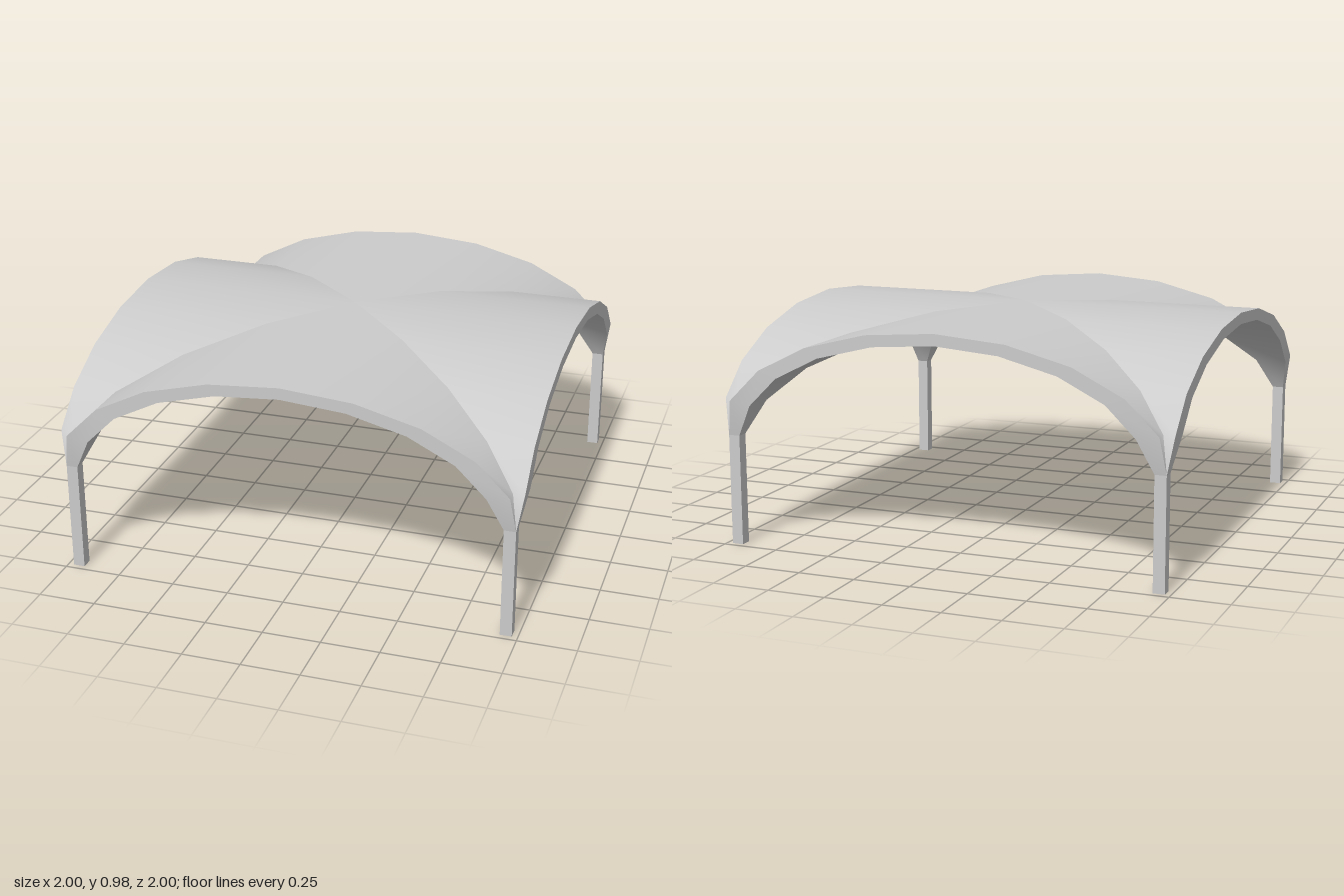
import * as THREE from 'three';

const STEPS = 5;          // arch segments from crown to springing
const SPRING = 0.48;      // height where the arches meet the legs
const LEG_IN = 0.925, LEG_OUT = 0.975;

const material = new THREE.MeshStandardMaterial({ color: 0xcccccc });

// Half-ellipse arch from left to right; both ends land on the leg.
function archProfile(rx, ry, endX) {
  const points = [];
  for (let i = -STEPS; i <= STEPS; i++) {
    const a = (i / STEPS) * Math.PI / 2;
    const end = Math.abs(i) === STEPS;
    const x = end ? Math.sign(i) * endX : rx * Math.sin(a);
    points.push({ x, y: SPRING + ry * Math.cos(a), end });
  }
  return points;
}

// The edge where neighbouring vaults meet on the diagonal.
const groin = (profile) => profile.map((p) => [p.x, p.y, Math.abs(p.x)]);
// The open edge, drawn in to the leg face at its ends.
const rim = (profile) => profile.map((p) => [p.x, p.y, p.end ? LEG_OUT : 1]);

// Surface strip between two rows of points.
function strip(a, b) {
  const n = a.length, index = [];
  for (let i = 0; i < n - 1; i++) {
    index.push(i, n + i, i + 1, n + i, n + i + 1, i + 1);
  }
  const geometry = new THREE.BufferGeometry();
  geometry.setAttribute('position', new THREE.Float32BufferAttribute([...a, ...b].flat(), 3));
  geometry.setIndex(index);
  geometry.computeVertexNormals();
  return geometry;
}

function addMesh(parent, name, geometry) {
  const mesh = new THREE.Mesh(geometry, material);
  mesh.name = name;
  parent.add(mesh);
  return mesh;
}

export function createModel() {
  const model = new THREE.Group();
  model.name = 'vaultedCanopy';

  const outer = archProfile(1, 0.5, LEG_OUT);
  const inner = archProfile(0.9, 0.45, LEG_IN);

  // One vault quarter: roof, ceiling and arched front edge
  const roof = strip(groin(outer), rim(outer));
  const ceiling = strip(rim(inner), groin(inner));
  const edge = strip(rim(outer), rim(inner));

  // Square leg
  const width = LEG_OUT - LEG_IN;
  const leg = new THREE.BoxGeometry(width, SPRING, width);
  const legPos = (LEG_OUT + LEG_IN) / 2;

  // Four quarters turned about the centre, one leg each
  ['front', 'left', 'back', 'right'].forEach((side, i) => {
    const quarter = new THREE.Group();
    quarter.name = side + 'Quarter';
    addMesh(quarter, 'roofPanel', roof);
    addMesh(quarter, 'ceilingPanel', ceiling);
    addMesh(quarter, 'archEdge', edge);
    addMesh(quarter, 'leg', leg).position.set(legPos, SPRING / 2, legPos);
    quarter.rotation.y = (i * Math.PI) / 2;
    model.add(quarter);
  });

  return model;
}
